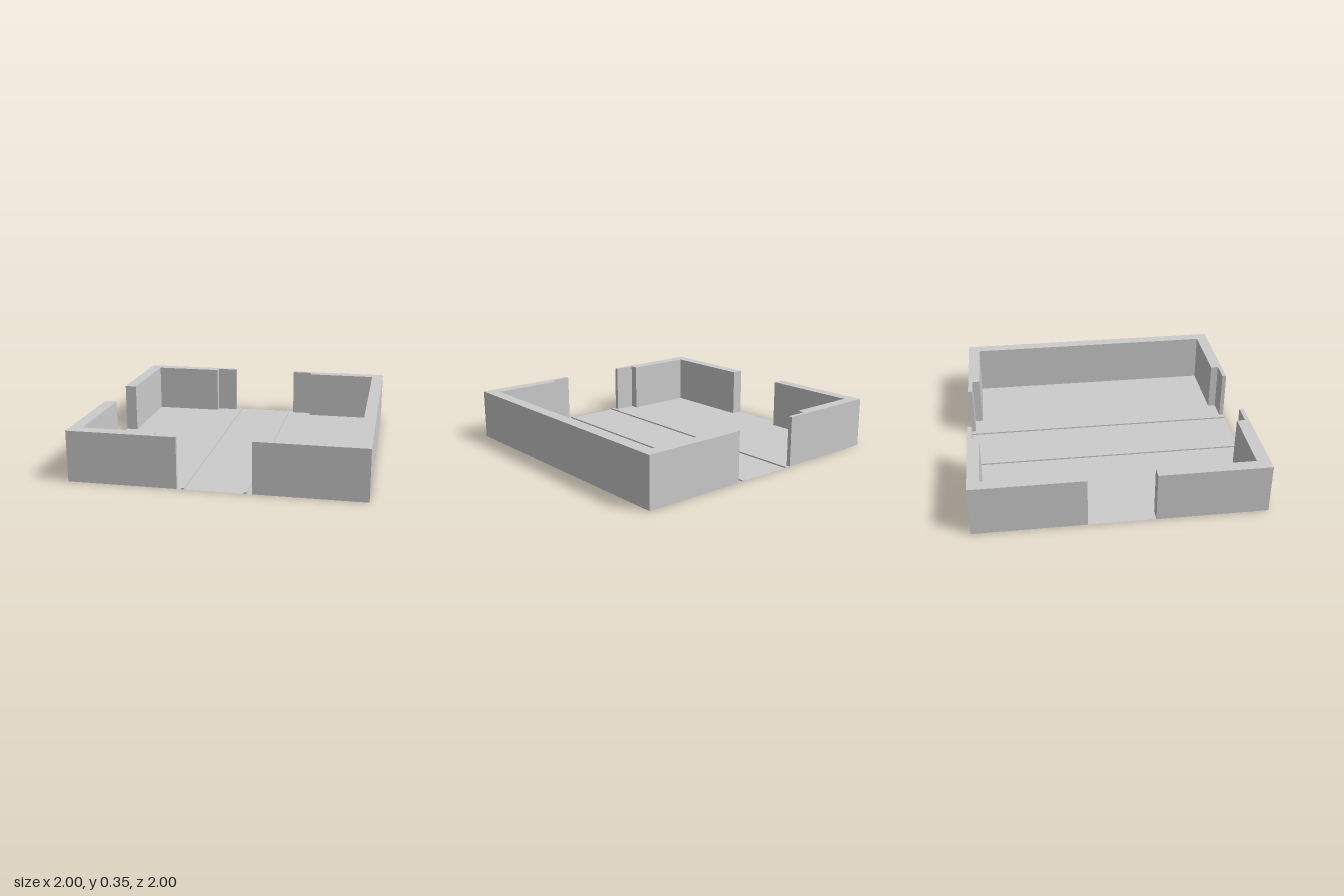
import * as THREE from 'three';

const HEIGHT = 0.355;

export function createModel() {
  const model = new THREE.Group();
  const material = new THREE.MeshStandardMaterial({ color: 0xcccccc, flatShading: true });
  const thin = new THREE.MeshStandardMaterial({ color: 0xcccccc, side: THREE.DoubleSide });

  const add = (name, geometry, mat = material) => {
    const mesh = new THREE.Mesh(geometry, mat);
    mesh.name = name;
    model.add(mesh);
    return mesh;
  };

  // Raises a wall from its plan outline, given as [x, z] corners
  const addWall = (name, plan) => {
    const shape = new THREE.Shape(plan.map(([x, z]) => new THREE.Vector2(x, -z)));
    const geometry = new THREE.ExtrudeGeometry(shape, { depth: HEIGHT, bevelEnabled: false });
    add(name, geometry.rotateX(-Math.PI / 2));
  };

  // Paper-thin floor sheet
  add('floor', new THREE.PlaneGeometry(2, 2).rotateX(-Math.PI / 2), thin);

  // Unbroken wall on the left, returning along front and back with thinner door jambs
  const returnInside = [[0.25, 1], [0.25, 0.97], [0.4, 0.97], [0.4, 0.915], [0.915, 0.915]];
  addWall('leftWall', [
    [1, -1], [1, 1],
    ...returnInside,
    ...returnInside.map(([x, z]) => [x, -z]).reverse(),
  ]);

  // Two corner walls on the right, leaving a side opening between them
  for (const [name, s, inner, end] of [['frontRightWall', 1, 0.91, 0.23], ['backRightWall', -1, 0.92, 0.23]]) {
    addWall(name, [
      [-1, s], [-0.25, s], [-0.25, s * 0.97], [-0.405, s * 0.97],
      [-0.405, s * inner], [-0.915, s * inner], [-0.915, s * end], [-1, s * end],
    ]);
  }

  // Low rails running through the front and back openings
  for (const [name, x] of [['leftRail', 0.207], ['rightRail', -0.209]]) {
    add(name, new THREE.BoxGeometry(0.02, 0.01, 2)).position.set(x, 0.005, 0);
  }

  return model;
}
